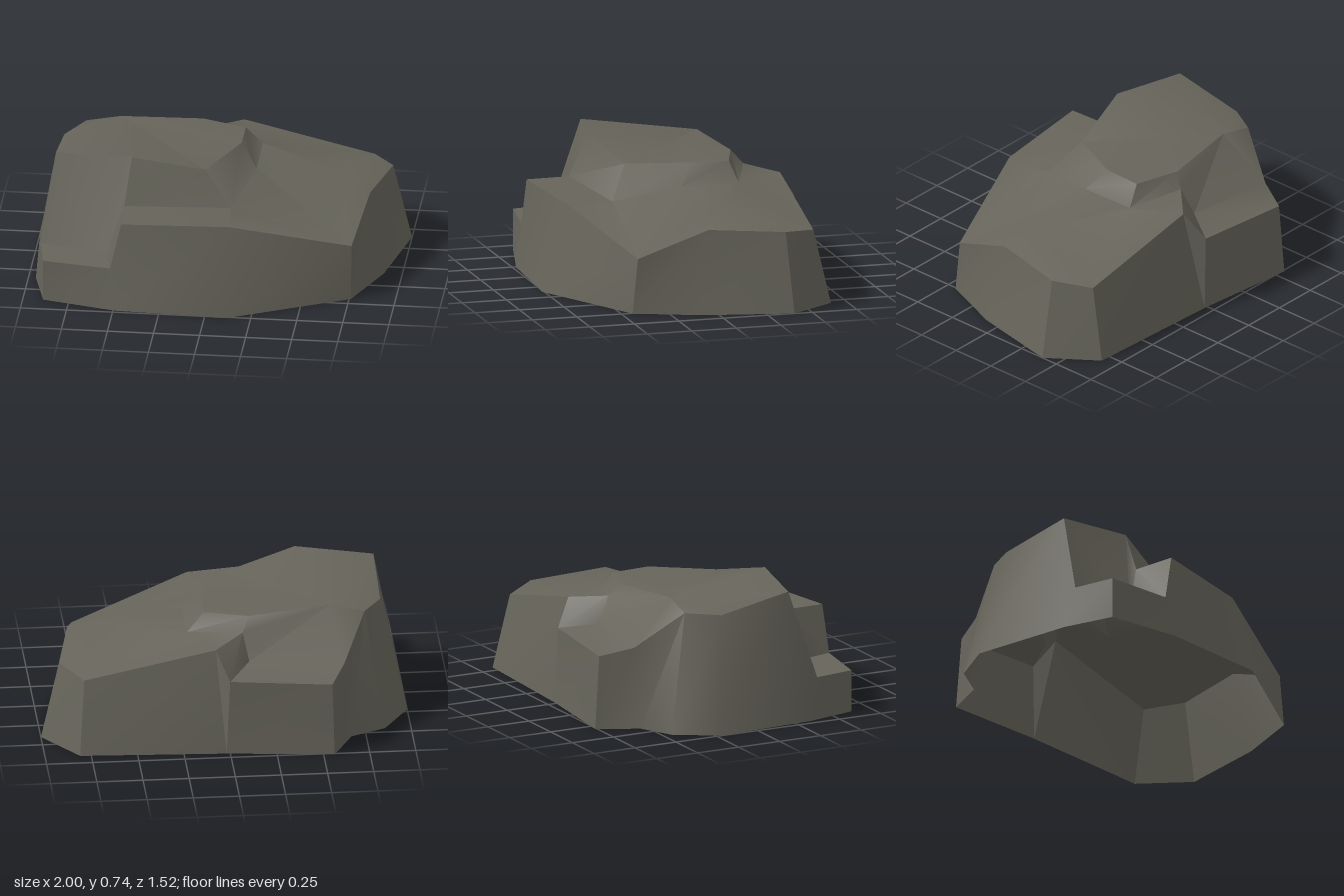
import * as THREE from 'three';
import { toCreasedNormals } from 'three/addons/utils/BufferGeometryUtils.js';

export function createModel() {
  const stone = new THREE.MeshStandardMaterial({ color: 0x66645a, side: THREE.DoubleSide });
  stone.name = 'dark grey stone';

  const positions = [];
  // Adds a polygon as a fan around its first corner, skipping empty triangles
  const face = (...p) => {
    for (let i = 1; i < p.length - 1; i++) {
      if (p[0] === p[i] || p[i] === p[i + 1] || p[0] === p[i + 1]) continue;
      positions.push(...p[0], ...p[i], ...p[i + 1]);
    }
  };

  // Ground outline, running front, right end, back, left end
  const base = [
    [-0.96, 0.35], [-0.89, 0.63], [-0.49, 0.73], [0.12, 0.76], [0.76, 0.44],
    [0.9, 0.09], [1, -0.4], [0.81, -0.66], [0.02, -0.7], [-0.56, -0.76],
    [-0.67, -0.54], [-0.86, -0.45], [-1, -0.22],
  ].map(([x, z]) => [x, 0, z]);

  // Low corner step
  const step = [[-0.93, 0.23, 0.4], [-0.89, 0.23, 0.63], [-0.52, 0.23, 0.69], [-0.57, 0.23, 0.48]];
  // Lip along the front, right end and back
  const lip = [
    [-0.46, 0.49, 0.68], [0.12, 0.475, 0.62], [0.76, 0.3, 0.41], [0.82, 0.45, 0.03],
    [0.9, 0.43, -0.38], [0.78, 0.405, -0.57], [0.07, 0.565, -0.59],
  ];
  // Shelf low on the back
  const shelf = [[0, 0.42, -0.69], [-0.55, 0.4, -0.73], [-0.63, 0.445, -0.56], [-0.12, 0.45, -0.5]];
  const notch = [-0.09, 0.59, -0.43];
  // Rim of the high crown
  const rim = [
    [-0.86, 0.63, -0.15], [-0.86, 0.71, 0.26], [-0.44, 0.735, 0.34], [-0.05, 0.64, 0.25],
    [0.11, 0.66, -0.08], [0.11, 0.655, -0.29], [-0.13, 0.66, -0.37],
  ];
  const crownBack = [-0.57, 0.68, -0.31];
  const crownLeft = [-0.76, 0.64, -0.32];
  // Foot of the crown on the front ledge, and the inner edge of the right terrace
  const foot = [[-0.47, 0.49, 0.44], [0.1, 0.47, 0.36]];
  const terrace = [[0.2, 0.55, 0], [0.66, 0.52, -0.05], [0.2, 0.555, -0.32]];

  // Outer walls: each upper corner stands on one ground corner
  const walls = [
    [0, step[0]], [1, step[1]], [2, step[2]],
    ...lip.map((p, i) => [i + 2, p]),
    [8, shelf[0]], [9, shelf[1]], [10, shelf[2]],
    [11, crownLeft], [12, rim[0]], [0, rim[1]],
  ];
  walls.forEach(([b, top], i) => {
    const [b2, top2] = walls[(i + 1) % walls.length];
    if (b === b2) face(base[b], top2, top);
    else face(base[b], base[b2], top2, top);
  });

  // Corner step, its riser and the crown wall behind it
  face(...step);
  face(step[2], lip[0], foot[0], step[3]);
  face(step[0], step[3], rim[1]);
  face(step[3], foot[0], rim[2], rim[1]);

  // Front ledge and the slopes above it
  face(foot[0], lip[0], lip[1], foot[1]);
  face(foot[0], foot[1], rim[3], rim[2]);
  face(foot[1], lip[1], lip[2], terrace[0]);
  face(foot[1], terrace[0], rim[4], rim[3]);
  face(terrace[0], lip[2], terrace[1]);
  face(lip[2], lip[3], terrace[1]);

  // Right terrace
  face(terrace[0], terrace[1], terrace[2]);
  face(terrace[1], lip[3], lip[4], lip[5]);
  face(terrace[2], terrace[1], lip[5], lip[6], notch, rim[6], rim[5]);
  face(terrace[0], terrace[2], rim[5], rim[4]);

  // Crown top and its rounded back
  face(crownBack, crownLeft, ...rim);
  face(crownBack, rim[6], notch, shelf[3], shelf[2], crownLeft);

  // Back shelf and its riser
  face(notch, lip[6], shelf[0], shelf[3]);
  face(shelf[3], shelf[0], shelf[1], shelf[2]);

  const geometry = new THREE.BufferGeometry();
  geometry.setAttribute('position', new THREE.Float32BufferAttribute(positions, 3));
  const rock = new THREE.Mesh(toCreasedNormals(geometry, 0.7), stone);
  rock.name = 'rock';

  const group = new THREE.Group();
  group.name = 'boulder';
  group.add(rock);
  return group;
}
